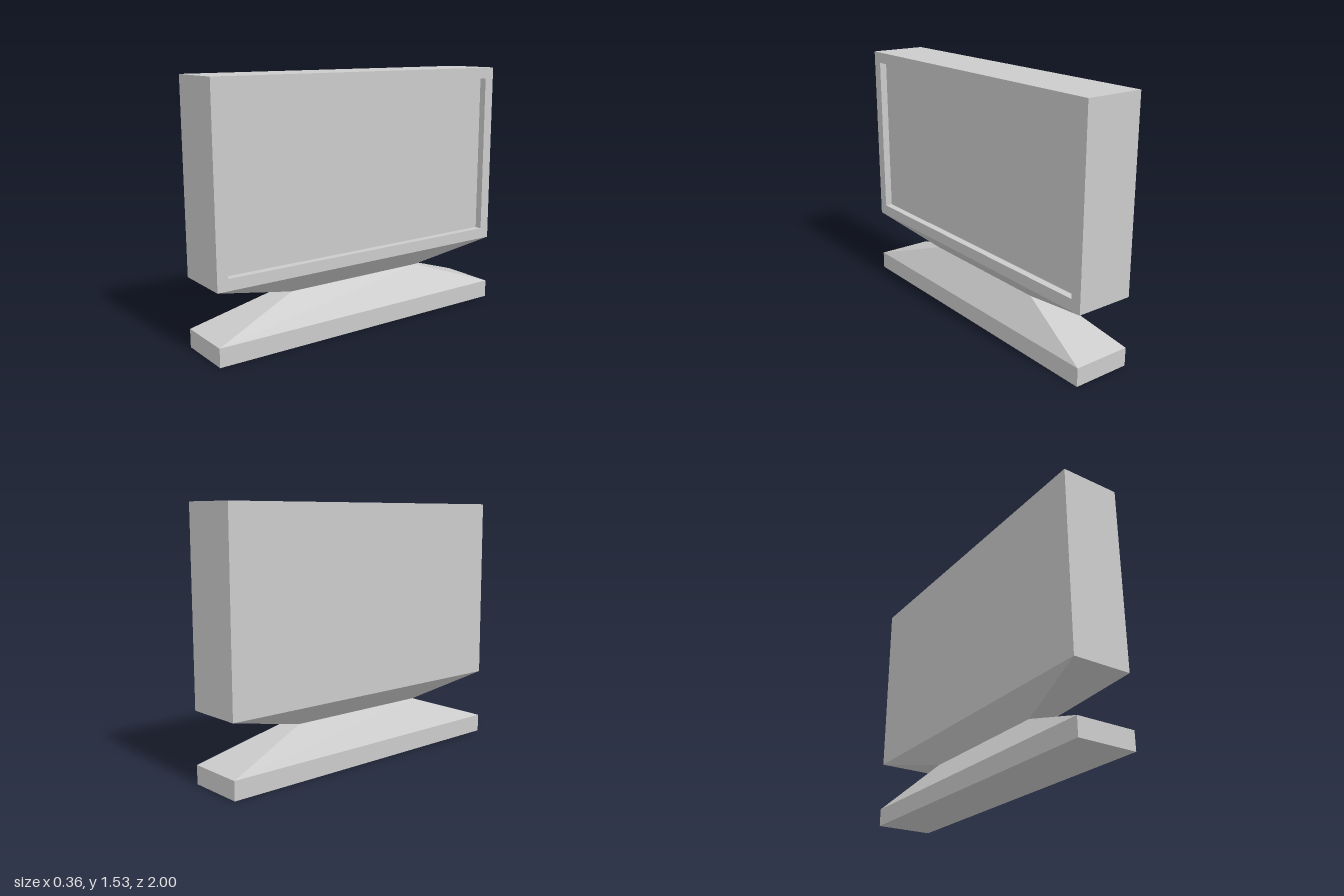
import * as THREE from 'three';

const material = new THREE.MeshStandardMaterial({ color: 0xcccccc, flatShading: true });

// Rectangle around the y axis (half width in x, half depth in z)
const ringY = (y, hx, hz) =>
  [[-1, -1], [1, -1], [1, 1], [-1, 1]].map(([w, u]) => [u * hx, y, w * hz]);

// Rectangle around the x axis (from y0 to y1, half depth in z)
const ringX = (x, y0, y1, hz) =>
  [[y0, -hz], [y1, -hz], [y1, hz], [y0, hz]].map(([y, z]) => [x, y, z]);

// Joins successive four-cornered rings with flat faces, with optional end caps
function loft(name, rings, capStart, capEnd) {
  const pos = [];
  const quad = (a, b, c, d) => pos.push(...a, ...b, ...c, ...a, ...c, ...d);
  for (let r = 0; r < rings.length - 1; r++) {
    const a = rings[r], b = rings[r + 1];
    for (let i = 0; i < 4; i++) {
      const j = (i + 1) % 4;
      quad(a[i], a[j], b[j], b[i]);
    }
  }
  if (capStart) quad(...[...rings[0]].reverse());
  if (capEnd) quad(...rings[rings.length - 1]);
  const geometry = new THREE.BufferGeometry();
  geometry.setAttribute('position', new THREE.Float32BufferAttribute(pos, 3));
  geometry.computeVertexNormals();
  const mesh = new THREE.Mesh(geometry, material);
  mesh.name = name;
  return mesh;
}

export function createModel() {
  const model = new THREE.Group();
  model.name = 'displayScreen';

  const hx = 0.18, hz = 1;
  const footTop = 0.11, waistY = 0.29, bottom = 0.415, top = 1.535;
  const waist = ringY(waistY, 0.057, 0.47);

  // Slab foot sloping up to the narrow waist
  model.add(loft('foot', [ringY(0, hx, hz), ringY(footTop, hx, hz), waist], true, false));

  // Flare from the waist out to the cabinet
  model.add(loft('neck', [waist, ringY(bottom, hx, hz)], false, false));

  // Cabinet with a bezel and a recessed screen on the +x side
  model.add(loft('cabinet', [
    ringX(-hx, bottom, top, hz),
    ringX(hx, bottom, top, hz),
    ringX(hx, 0.483, 1.468, 0.935),
    ringX(hx - 0.045, 0.483, 1.468, 0.935),
  ], true, true));

  return model;
}
